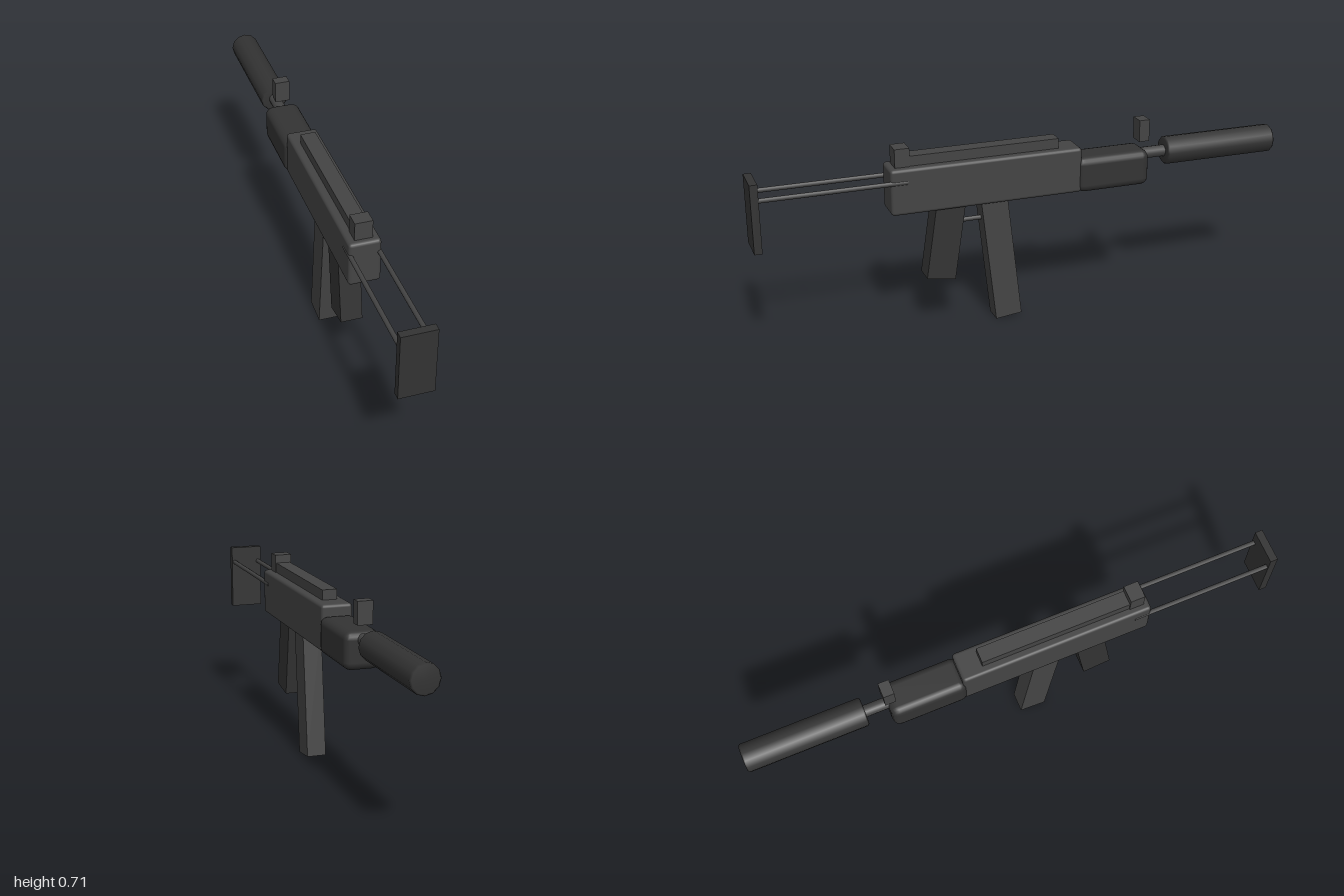
import * as THREE from 'three';
import { RoundedBoxGeometry } from 'three/addons/geometries/RoundedBoxGeometry.js';

export function createModel() {
  const model = new THREE.Group();
  const body = new THREE.Group();
  body.name = 'body';
  // The whole body is turned slightly about the vertical axis
  body.rotation.y = 0.124;
  body.position.x = -0.007;
  model.add(body);

  const dark = new THREE.MeshStandardMaterial({ color: 0x333333 });
  const mid = new THREE.MeshStandardMaterial({ color: 0x444444 });

  function add(name, geometry, material, x, y, z) {
    const mesh = new THREE.Mesh(geometry, material);
    mesh.name = name;
    mesh.position.set(x, y, z);
    body.add(mesh);
    return mesh;
  }

  // Box given by its width and its y and z ranges; a radius rounds the edges
  function block(name, material, w, [y0, y1], [z0, z1], radius = 0, segments = 1) {
    const size = [w, y1 - y0, z1 - z0];
    const geometry = radius
      ? new RoundedBoxGeometry(...size, segments, radius)
      : new THREE.BoxGeometry(...size);
    return add(name, geometry, material, 0, (y0 + y1) / 2, (z0 + z1) / 2);
  }

  // Round bar running along z
  function rod(name, material, radius, x, y, [z0, z1], sides = 12) {
    const geometry = new THREE.CylinderGeometry(radius, radius, z1 - z0, sides);
    geometry.rotateX(Math.PI / 2);
    return add(name, geometry, material, x, y, (z0 + z1) / 2);
  }

  // Leaning box, placed by the centre of its lower face
  function leaning(name, material, w, h, d, y, z, tilt) {
    const geometry = new THREE.BoxGeometry(w, h, d);
    geometry.translate(0, h / 2, 0);
    add(name, geometry, material, 0, y, z).rotation.x = tilt;
  }

  // Main housing and forward handguard
  block('receiver', mid, 0.115, [0.47, 0.64], [-0.205, 0.512], 0.012, 2);
  block('handguard', dark, 0.13, [0.466, 0.6], [-0.473, -0.19], 0.028, 2);

  // Top rail and the two sight blocks
  block('topRail', mid, 0.056, [0.63, 0.677], [-0.123, 0.49]);
  block('rearSight', mid, 0.064, [0.63, 0.708], [0.436, 0.49]);
  block('frontSight', mid, 0.055, [0.626, 0.708], [-0.484, -0.444]);

  // Barrel and the thick tube at its end
  rod('barrel', mid, 0.022, 0, 0.572, [-0.6, -0.44]);
  const r = 0.053, len = 0.445, c = 0.006;
  const profile = [
    [0, 0], [r - c, 0], [r, c], [r, len - c], [r - c, len], [0, len],
  ].map(([x, y]) => new THREE.Vector2(x, y));
  const tube = new THREE.LatheGeometry(profile, 12);
  tube.rotateX(Math.PI / 2);
  add('muzzleTube', tube, dark, 0, 0.572, -1.001);

  // Grip leaning back, magazine leaning forward, guard bar between them
  leaning('grip', dark, 0.08, 0.3, 0.108, 0.198, 0.333, -0.15);
  leaning('magazine', mid, 0.072, 0.5, 0.1, 0.006, 0.073, 0.112);
  rod('triggerGuard', mid, 0.009, 0, 0.402, [0.12, 0.3], 8);

  // Stock: two rods and a butt plate
  for (const side of [-1, 1]) {
    rod(side > 0 ? 'leftStockRod' : 'rightStockRod', mid, 0.009, side * 0.051, 0.59, [0.45, 0.98], 8);
  }
  block('buttPlate', dark, 0.125, [0.4, 0.652], [0.972, 1.0]);

  return model;
}
